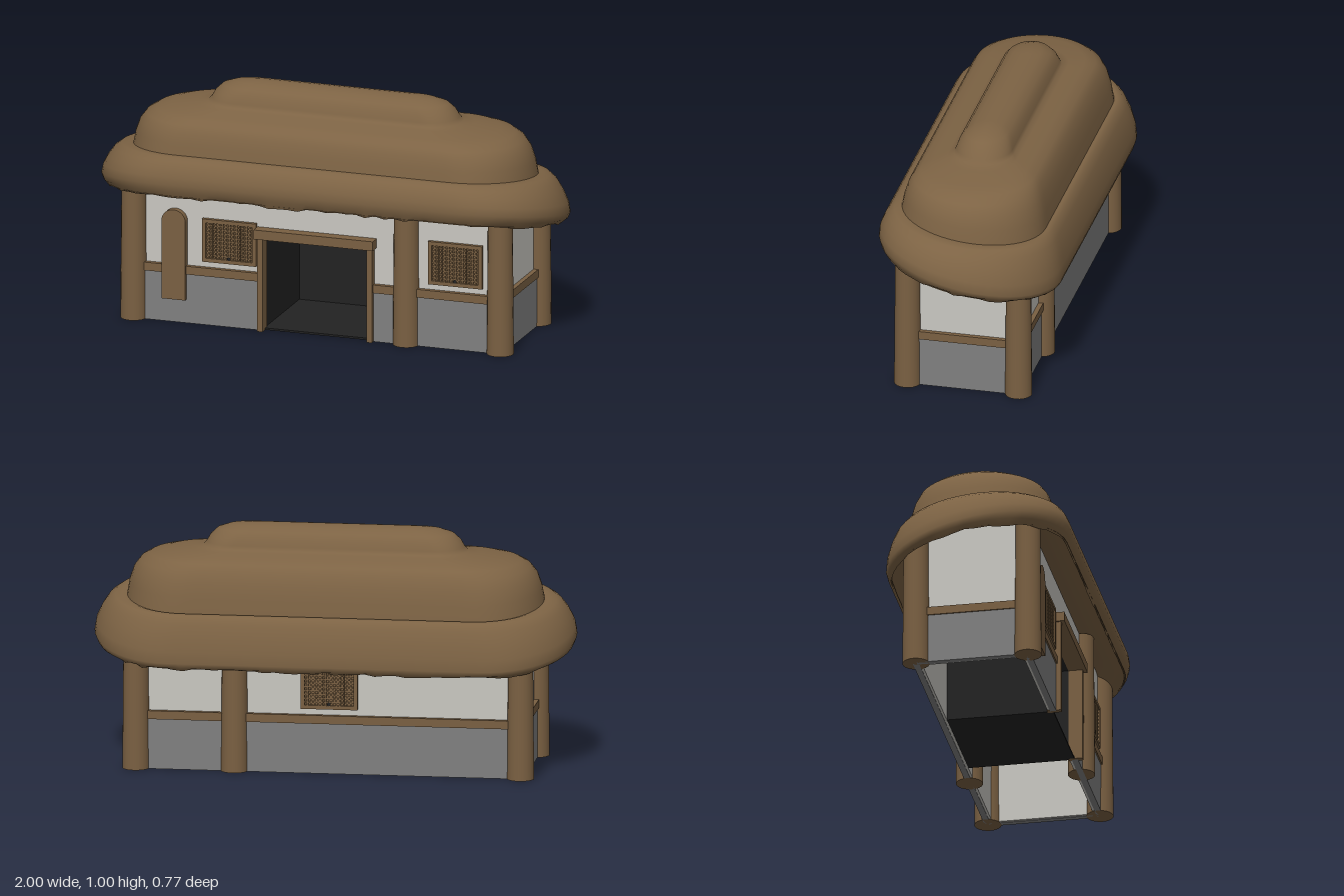
import * as THREE from 'three';

const mat = (name, color, side = THREE.FrontSide) => {
  const m = new THREE.MeshStandardMaterial({ color, side });
  m.name = name;
  return m;
};

export function createModel() {
  const model = new THREE.Group();
  model.name = 'thatchedHut';
  const wood = mat('wood', 0x7a6042);
  const thatch = mat('thatch', 0x7d6344, THREE.DoubleSide);
  const plaster = mat('plaster', 0xc9c7c1);
  const stone = mat('stone', 0x808080);
  const dark = mat('dark', 0x222222);

  const add = (name, geo, material, x = 0, y = 0, z = 0, parent = model) => {
    const m = new THREE.Mesh(geo, material);
    m.name = name;
    m.position.set(x, y, z);
    parent.add(m);
    return m;
  };
  // Box given by its extents on each axis
  const box = (name, material, x0, x1, y0, y1, z0, z1, parent) =>
    add(name, new THREE.BoxGeometry(x1 - x0, y1 - y0, z1 - z0), material,
      (x0 + x1) / 2, (y0 + y1) / 2, (z0 + z1) / 2, parent);

  // Roof outline: two round ends joined by straight sides, as [side, cos, sin]
  const outline = [];
  const ARC = 24, STRAIGHT = 30;
  for (const s of [1, -1]) {
    for (let i = 0; i < ARC; i++) {
      const t = -Math.PI / 2 + (i / ARC) * Math.PI;
      outline.push([s, s * Math.cos(t), s * Math.sin(t)]);
    }
    for (let i = 0; i < STRAIGHT; i++) outline.push([s * (1 - 2 * i / STRAIGHT), 0, s]);
  }

  let seed = 7;
  const rand = () => (seed = (seed * 16807) % 2147483647) / 2147483647 - 0.5;

  // Loft of rings: [half length, half depth, end radius, height, tilt to the front, raggedness]
  const loft = (name, rings) => {
    const pos = [], idx = [], n = outline.length;
    for (const [a, b, r, y, tilt, rag = 0] of rings)
      for (const [s, c, d] of outline)
        pos.push(s * (a - r) + r * c, y + tilt * b * d + rag * rand(), b * d);
    for (let i = 0; i < rings.length - 1; i++)
      for (let j = 0; j < n; j++) {
        const k = (j + 1) % n;
        const p = i * n + j, q = i * n + k, u = p + n, v = q + n;
        idx.push(p, u, q, q, u, v);
      }
    const g = new THREE.BufferGeometry();
    g.setAttribute('position', new THREE.Float32BufferAttribute(pos, 3));
    g.setIndex(idx);
    g.computeVertexNormals();
    add(name, g, thatch);
  };

  loft('roofUnderside', [
    [0.6, 0, 0.02, 0.62, 0],
    [0.84, 0.26, 0.25, 0.6, 0.12],
    [0.93, 0.33, 0.32, 0.54, 0.16],
    [0.975, 0.368, 0.34, 0.512, 0.17],
  ]);
  loft('roofEave', [
    [0.97, 0.362, 0.34, 0.507, 0.17, 0.016],
    [0.99, 0.378, 0.35, 0.525, 0.19],
    [1.0, 0.383, 0.35, 0.55, 0.2],
    [0.993, 0.38, 0.35, 0.59, 0.18],
    [0.972, 0.367, 0.34, 0.635, 0.15],
    [0.945, 0.35, 0.33, 0.675, 0.12],
    [0.915, 0.33, 0.31, 0.698, 0.1],
    [0.885, 0.312, 0.29, 0.702, 0.1],
    [0.865, 0.3, 0.27, 0.7, 0.11],
  ]);
  loft('roofBody', [
    [0.866, 0.302, 0.27, 0.695, 0.11],
    [0.855, 0.293, 0.27, 0.755, 0.08],
    [0.838, 0.28, 0.265, 0.805, 0.06],
    [0.81, 0.262, 0.255, 0.843, 0.03],
    [0.77, 0.238, 0.24, 0.867, 0.01],
    [0.71, 0.2, 0.21, 0.882, 0],
    [0.6, 0.145, 0.15, 0.896, 0],
    [0.55, 0.124, 0.13, 0.904, 0],
    [0.535, 0.117, 0.12, 0.92, 0],
    [0.52, 0.108, 0.12, 0.947, 0],
    [0.49, 0.088, 0.12, 0.975, 0],
    [0.44, 0.056, 0.1, 0.992, 0],
    [0.37, 0.02, 0.05, 0.999, 0],
    [0.34, 0, 0.03, 1.0, 0],
  ]);

  // Posts: four corners and one pair beside the door
  for (const x of [-0.8, 0.39, 0.8])
    for (const z of [-0.235, 0.235])
      add('post', new THREE.CylinderGeometry(0.051, 0.056, 0.62, 20), wood, x, 0.31, z);

  // Long walls: plaster inside, stone base and rail outside
  const wall = (x0, x1, s) => {
    const layer = (name, m, y0, y1, a, b) =>
      box(name, m, x0, x1, y0, y1, Math.min(s * a, s * b), Math.max(s * a, s * b));
    layer('plasterWall', plaster, 0.002, 0.62, 0.212, 0.234);
    layer('stoneBase', stone, 0, 0.21, 0.222, 0.248);
    layer('rail', wood, 0.21, 0.245, 0.222, 0.254);
  };
  wall(-0.8, 0.8, -1);
  wall(-0.8, -0.24, 1);
  wall(0.24, 0.8, 1);
  box('wallOverDoor', plaster, -0.24, 0.24, 0.41, 0.62, 0.212, 0.234);

  // End walls
  for (const s of [-1, 1]) {
    const layer = (name, m, y0, y1, a, b) =>
      box(name, m, Math.min(s * a, s * b), Math.max(s * a, s * b), y0, y1, -0.23, 0.23);
    layer('endPlaster', plaster, 0.002, 0.62, 0.777, 0.799);
    layer('endStone', stone, 0, 0.21, 0.787, 0.813);
    layer('endRail', wood, 0.21, 0.245, 0.787, 0.819);
  }

  // Dark entry room, open to the front
  box('entryFloor', dark, -0.235, 0.235, 0, 0.008, -0.21, 0.235);
  box('entryCeiling', dark, -0.235, 0.235, 0.402, 0.41, -0.21, 0.235);
  box('entryBack', dark, -0.235, 0.235, 0, 0.41, -0.211, -0.203);
  for (const s of [-1, 1])
    box('entrySide', dark, s * 0.235 - 0.004, s * 0.235 + 0.004, 0, 0.41, -0.21, 0.235);

  // Door frame
  for (const s of [-1, 1])
    box('doorPost', wood, s * 0.239 - 0.012, s * 0.239 + 0.012, 0, 0.405, 0.21, 0.27);
  box('lintel', wood, -0.26, 0.26, 0.4, 0.44, 0.21, 0.285);

  // Lattice windows, built facing +z about their centre
  const windowAt = (x, z, turn) => {
    const g = new THREE.Group();
    g.name = 'latticeWindow';
    const w = 0.118, h = 0.092;
    box('windowPanel', wood, -w, w, -h, h, 0, 0.006, g);
    for (const s of [-1, 1]) {
      box('windowStile', wood, s * (w - 0.008) - 0.008, s * (w - 0.008) + 0.008, -h, h, 0, 0.018, g);
      box('windowRail', wood, -w, w, s * (h - 0.008) - 0.008, s * (h - 0.008) + 0.008, 0, 0.018, g);
    }
    for (let i = -6; i <= 6; i++)
      box('verticalSlat', wood, i * 0.015 - 0.003, i * 0.015 + 0.003, -h, h, 0.005, 0.013, g);
    for (let i = -4; i <= 4; i++)
      box('crossSlat', wood, -w, w, i * 0.016 - 0.003, i * 0.016 + 0.003, 0.005, 0.012, g);
    add('windowCatch', new THREE.CircleGeometry(0.008, 12), dark, 0, -0.07, 0.0185, g);
    g.position.set(x, 0.363, z);
    g.rotation.y = turn;
    model.add(g);
  };
  windowAt(-0.38, 0.233, 0);
  windowAt(0.607, 0.233, 0);
  windowAt(-0.005, -0.233, Math.PI);

  // Plain round-topped board by the door
  const board = new THREE.Shape();
  board.moveTo(-0.052, 0);
  board.lineTo(0.052, 0);
  board.lineTo(0.052, 0.335);
  board.absellipse(0, 0.335, 0.052, 0.05, 0, Math.PI, false);
  board.closePath();
  add('board', new THREE.ExtrudeGeometry(board, { depth: 0.03, bevelEnabled: false, curveSegments: 12 }),
    wood, -0.618, 0.1, 0.233);

  return model;
}
